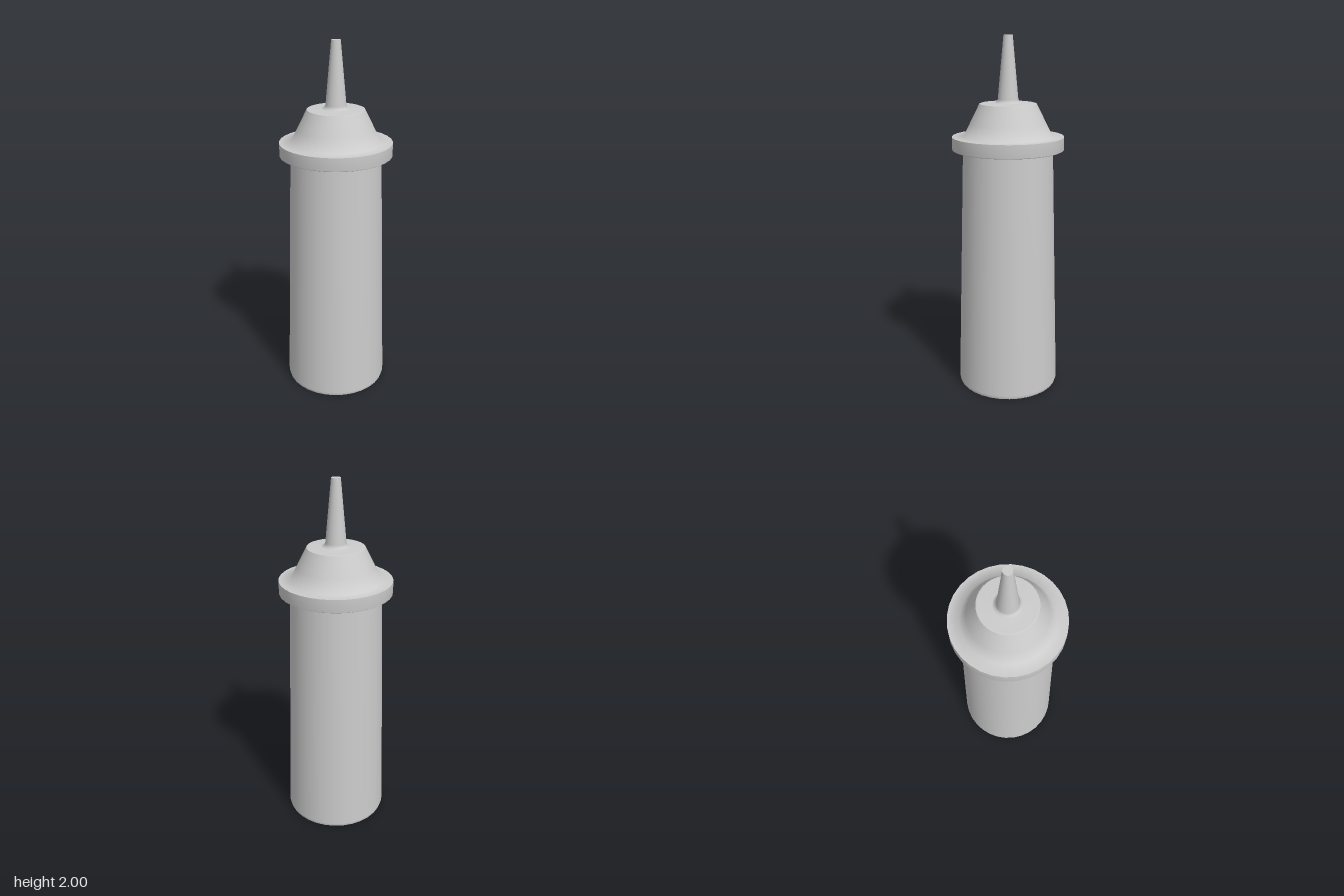
import * as THREE from 'three';

const material = new THREE.MeshStandardMaterial({ color: 0xcccccc });

// Smooth surface of revolution; profile points are [radius, height], bottom to top
function turned(name, profile) {
  const points = profile.map(([r, y]) => new THREE.Vector2(r, y));
  const mesh = new THREE.Mesh(new THREE.LatheGeometry(points, 32), material);
  mesh.name = name;
  return mesh;
}

export function createModel() {
  const group = new THREE.Group();
  group.name = 'squeezeBottle';

  // Tapered bottle with a slightly rounded foot
  group.add(turned('bottleBase', [[0, 0], [0.284, 0]]));
  group.add(turned('bottleBody', [[0.284, 0], [0.29, 0.02], [0.25, 1.385]]));

  // Screw collar: underside and outer wall
  group.add(turned('collarUnderside', [[0.25, 1.385], [0.302, 1.385]]));
  group.add(turned('collarWall', [[0.302, 1.385], [0.31, 1.39], [0.31, 1.46]]));

  // Cap shoulder blending softly out of the collar top
  group.add(turned('capShoulder', [[0.31, 1.46], [0.246, 1.46], [0.21, 1.532], [0.157, 1.638]]));

  // Cap top flowing through a small fillet into the nozzle
  group.add(turned('nozzle', [
    [0.157, 1.638], [0.148, 1.641], [0.076, 1.641], [0.064, 1.648], [0.056, 1.663], [0.025, 2],
  ]));
  group.add(turned('nozzleTip', [[0.025, 2], [0, 2]]));

  return group;
}
